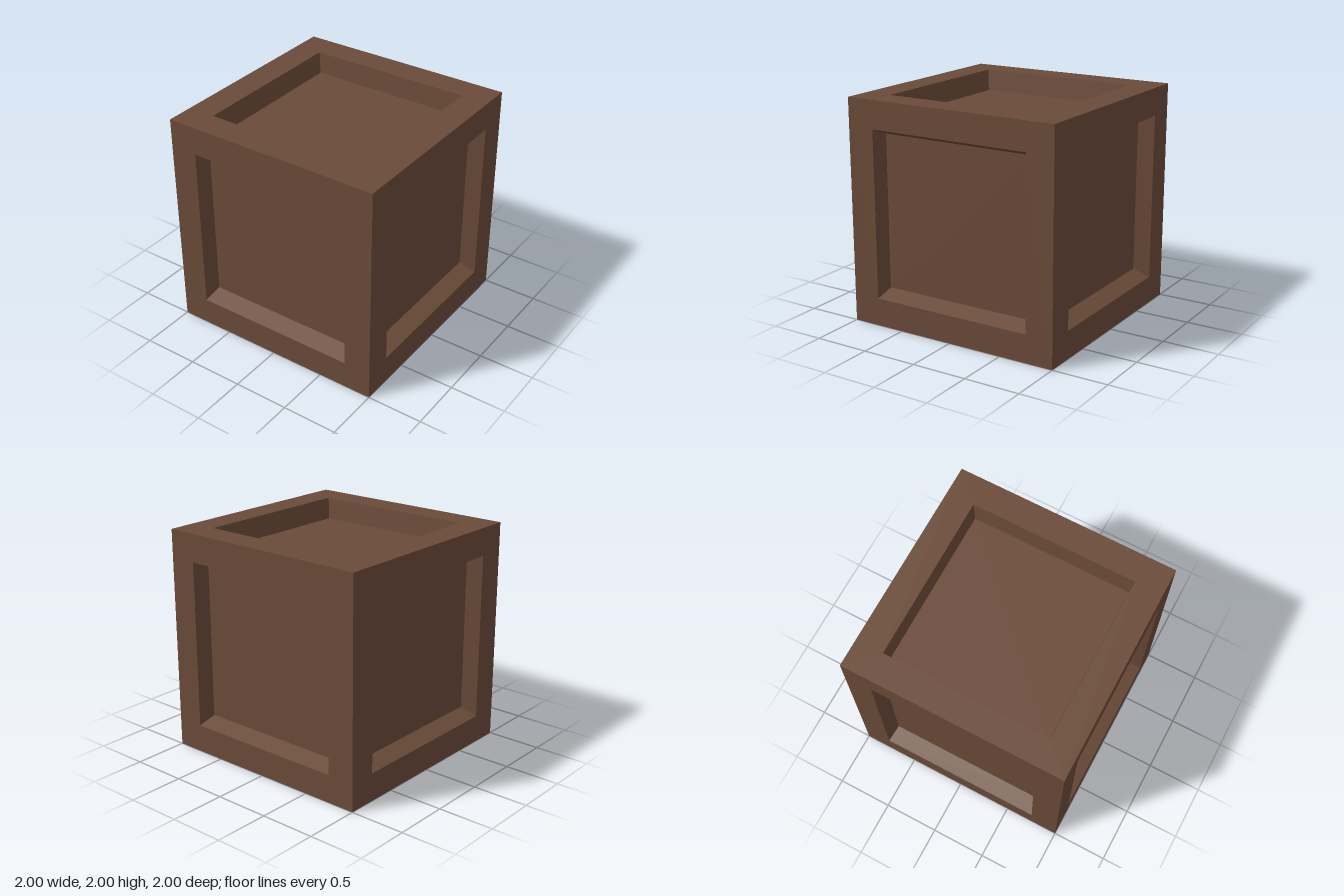
import * as THREE from 'three';

const OPENING = 0.75;                // half width of each recess at the surface
const FLOOR = [0.727, 0.69, 0.724];  // half width of the recess floor along x, y, z
const DEPTH = [0.15, 0.19, 0.15];    // recess depth along x, y, z
const CORNERS = [[-1, -1], [1, -1], [1, 1], [-1, 1]];

// Flat-shaded geometry from a list of quads, corners counter-clockwise
function quads(list) {
  const pos = [];
  for (const [a, b, c, d] of list) pos.push(...a, ...b, ...c, ...a, ...c, ...d);
  const g = new THREE.BufferGeometry();
  g.setAttribute('position', new THREE.Float32BufferAttribute(pos, 3));
  g.computeVertexNormals();
  return g;
}

// Four corners of a rectangle on the side facing axis n
function ring(n, sign, height, halfU, halfV) {
  const u = (n + 1) % 3, v = (n + 2) % 3;
  return CORNERS.map(([a, b]) => {
    const p = [0, 0, 0];
    p[n] = sign * height;
    p[u] = sign * a * halfU; // mirrored with the side to keep the winding
    p[v] = b * halfV;
    return p;
  });
}

// Band of four quads between two rings
const band = (outer, inner) => outer.map((p, i) => {
  const j = (i + 1) % 4;
  return [p, outer[j], inner[j], inner[i]];
});

export function createModel() {
  const model = new THREE.Group();
  model.name = 'crate';
  const wood = new THREE.MeshStandardMaterial({ color: 0x6a4a38 });
  wood.name = 'brown wood';

  const names = [['rightSide', 'leftSide'], ['bottom', 'top'], ['back', 'front']];
  names[0] = ['rightSide', 'leftSide'];
  for (let n = 0; n < 3; n++) {
    for (const sign of [-1, 1]) {
      const side = new THREE.Group();
      side.name = names[n][sign > 0 ? 1 : 0];
      const edge = ring(n, sign, 1, 1, 1);
      const opening = ring(n, sign, 1, OPENING, OPENING);
      const floor = ring(n, sign, 1 - DEPTH[n], FLOOR[(n + 1) % 3], FLOOR[(n + 2) % 3]);
      // Flat border, sloping recess walls and sunken panel
      const parts = {
        frame: band(edge, opening),
        recessWalls: band(opening, floor),
        sunkenPanel: [floor],
      };
      for (const [name, list] of Object.entries(parts)) {
        const mesh = new THREE.Mesh(quads(list), wood);
        mesh.name = name;
        side.add(mesh);
      }
      model.add(side);
    }
  }
  model.position.y = 1;
  return model;
}
